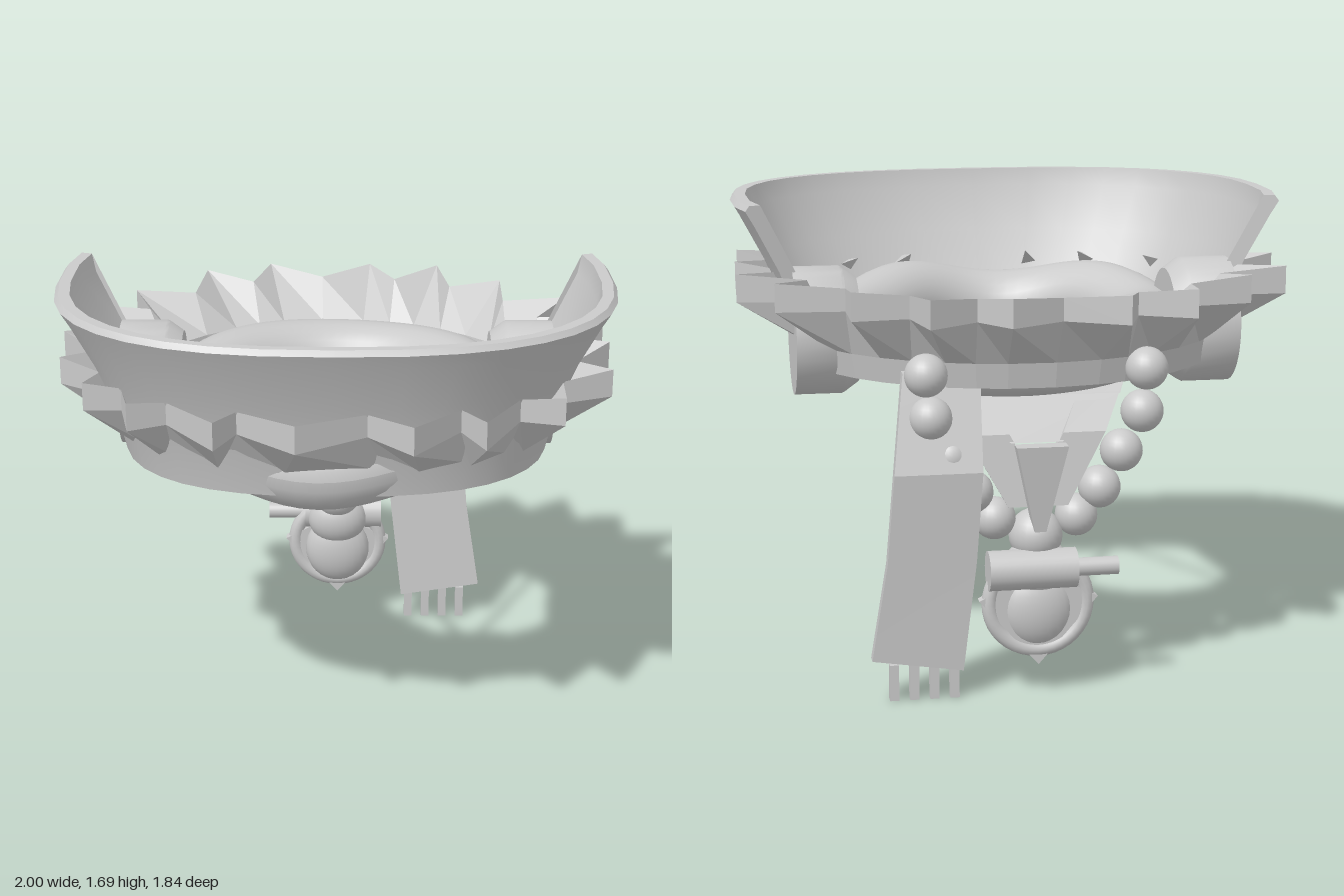
import * as THREE from 'three';
import { toCreasedNormals } from 'three/addons/utils/BufferGeometryUtils.js';

const grey = new THREE.MeshStandardMaterial({ color: 0xcacaca });
grey.name = 'plain grey';

const V = (x, y, z) => new THREE.Vector3(x, y, z);

// Skin a row of cross-sections; each one runs counter-clockwise seen from the far end
function loft(rings, closed, crease) {
  const n = rings[0].length, m = rings.length, idx = [];
  for (let i = 0; i < (closed ? m : m - 1); i++) {
    const k = (i + 1) % m;
    for (let j = 0; j < n; j++) {
      const l = (j + 1) % n;
      const a = i * n + j, b = i * n + l, c = k * n + l, d = k * n + j;
      idx.push(a, b, c, a, c, d);
    }
  }
  if (!closed) {
    const e = (m - 1) * n;
    for (let j = 1; j < n - 1; j++) idx.push(0, j + 1, j, e, e + j, e + j + 1);
  }
  const g = new THREE.BufferGeometry().setFromPoints(rings.flat());
  g.setIndex(idx);
  return toCreasedNormals(g, crease);
}

// Hanging strip from rows of [y, xLeft, xRight, z, rise of the right end], top to bottom
function strip(rows, thick) {
  const t = thick / 2;
  return loft(rows.map(([y, a, b, z, up = 0]) =>
    [V(a, y, z - t), V(b, y + up, z - t), V(b, y + up, z + t), V(a, y, z + t)]), false, 0.1);
}

// Rounded-square plan of the collar at radius r
const pw = (v) => Math.sign(v) * Math.pow(Math.abs(v), 0.8);
const outline = (t, r, y) => V(r * pw(Math.cos(t)), y, 0.05 + 0.81 * r * pw(Math.sin(t)));

export function createModel() {
  const group = new THREE.Group();
  const add = (name, geo, x = 0, y = 0, z = 0) => {
    const mesh = new THREE.Mesh(geo, grey);
    mesh.name = name;
    mesh.position.set(x, y, z);
    group.add(mesh);
    return mesh;
  };
  // Part whose own y axis runs from p to q
  const between = (name, geo, p, q) => {
    const mid = p.clone().add(q).multiplyScalar(0.5);
    const mesh = add(name, geo, mid.x, mid.y, mid.z);
    mesh.quaternion.setFromUnitVectors(V(0, 1, 0), q.clone().sub(p).normalize());
    return mesh;
  };
  const rod = (name, p, q, w, d) => between(name, new THREE.BoxGeometry(w, p.distanceTo(q), d), p, q);

  // Padded ring with a gentle wave, strongest at the front
  const ring = new THREE.TorusGeometry(0.54, 0.15, 24, 64).rotateX(Math.PI / 2);
  const pos = ring.attributes.position;
  for (let i = 0; i < pos.count; i++) {
    const a = Math.atan2(pos.getZ(i), pos.getX(i));
    pos.setY(i, pos.getY(i) - (0.018 + 0.012 * Math.sin(a)) * Math.cos(4 * a - 0.5));
  }
  ring.computeVertexNormals();
  add('paddedRing', ring, 0, 1.195, 0.02);

  // Flared collar, open at the back
  const profile = [[0.64, 1.1], [0.765, 1.1], [0.8, 1.25], [0.88, 1.45], [0.97, 1.62], [1.0, 1.67],
    [0.985, 1.69], [0.945, 1.69], [0.93, 1.62], [0.84, 1.45], [0.74, 1.25]];
  const collar = [];
  const t0 = 0.31;
  for (let i = 0; i <= 22; i++) {
    const t = -t0 + (Math.PI + 2 * t0) * i / 22;
    collar.push(profile.map(([r, y]) => outline(t, r, y)));
  }
  add('collar', loft(collar, false, 0.5));

  // Jagged crown on a low band: tips in plan, with a notch between each pair
  const tips = [[1, -0.25], [0.99, 0.05], [0.97, 0.35], [0.78, 0.64], [0.5, 0.87], [0.26, 0.92],
    [-0.13, 0.91], [-0.4, 0.88], [-0.7, 0.7], [-0.87, 0.5], [-0.98, 0.23], [-1, -0.06],
    [-0.96, -0.38], [-0.78, -0.56], [-0.52, -0.83], [-0.27, -0.92], [0.13, -0.92], [0.4, -0.9],
    [0.64, -0.7], [0.88, -0.48]];
  const crown = [];
  const column = (x, z, notch) => {
    const front = z > -0.1;
    const a = Math.atan2(z - (front ? 0.05 : 0), x);
    const base = (r, y) => front ? outline(a, r, y) : V(r * Math.cos(a), y, 0.91 * r * Math.sin(a));
    crown.push([base(0.71, 1.1), base(0.76, 1.1), base(notch && front ? 0.75 : 0.78, 1.19),
      V(x, 1.35, z), V(x, notch ? 1.43 : 1.45, z), base(front ? 0.8 : 0.74, 1.29)]);
  };
  tips.forEach(([x, z], i) => {
    const [u, w] = tips[(i + 1) % tips.length];
    column(x, z, false);
    const mx = (x + u) / 2, mz = (z + w) / 2;
    if (mz > -0.1) {
      const v = outline(Math.atan2(mz - 0.05, mx), 0.865, 0);
      column(v.x, v.z, true);
    } else {
      const s = 0.81 / Math.hypot(mx, mz);
      column(mx * s, mz * s, true);
    }
  });
  add('jaggedCrown', loft(crown, true, 0.1));

  // Side drums with a bevelled inner edge
  const drum = toCreasedNormals(new THREE.LatheGeometry(
    [[0, 0], [0.19, 0], [0.225, 0.05], [0.23, 0.06], [0.23, 0.23], [0, 0.23]]
      .map(([r, y]) => new THREE.Vector2(r, y)), 40), 0.5);
  for (const s of [-1, 1]) {
    add('sideDrum', drum, 0.57 * s, 1.225, -0.145).rotation.z = -s * Math.PI / 2;
  }

  // Small studs inside the collar
  for (const [x, z] of [[-0.8, 0.08], [-0.75, 0.27], [-0.67, 0.46], [-0.42, 0.61], [-0.2, 0.66],
    [0.3, 0.64], [0.53, 0.58], [0.7, 0.37], [0.77, 0.18]]) {
    const stud = toCreasedNormals(new THREE.ConeGeometry(0.05, 0.13, 3), 0.1);
    between('collarStud', stud, V(x * 1.05, 1.33, z * 1.05), V(x * 0.95, 1.37, z * 0.95));
  }

  // Braces across the opening
  rod('crossBar', V(-0.4, 1.16, 0.36), V(0.4, 1.16, 0.36), 0.06, 0.035);
  for (const s of [-1, 1]) {
    rod('sideBrace', V(0.39 * s, 1.19, -0.2), V(0.34 * s, 1.15, 0.38), 0.03, 0.06);
    rod('thinBrace', V(0.33 * s, 1.2, -0.28), V(0, 1.17, 0.43), 0.018, 0.018);
  }

  // Sloping bib and straps that carry the pendant
  add('bib', strip([[1.1, -0.38, 0.38, -0.36], [1.04, -0.32, 0.32, -0.52], [0.9, -0.09, 0.09, -0.64]], 0.025));
  for (const s of [-1, 1]) {
    const edge = (y, c, z) => [y, c * s - 0.075, c * s + 0.075, z];
    add('pendantStrap', strip([edge(1.1, 0.28, -0.45), edge(0.93, 0.17, -0.63), edge(0.68, 0.03, -0.67)], 0.03));
  }
  add('tassel', strip([[0.91, -0.09, 0.09, -0.74], [0.6, -0.02, 0.02, -0.7]], 0.06));

  // Bead strands
  for (const s of [-1, 1]) {
    for (const [x, y, z] of [[0.385, 1.15, -0.655], [0.37, 1.0, -0.655], [0.3, 0.86, -0.645],
      [0.225, 0.73, -0.635], [0.145, 0.63, -0.625]]) {
      add('bead', new THREE.SphereGeometry(0.075, 24, 16), x * s, y, z);
    }
  }
  add('centreBead', new THREE.SphereGeometry(0.095, 24, 16), 0, 0.565, -0.63);

  // Pendant: rounded body in a hoop, with a kite-shaped plate and a cross pin
  add('pendantNeck', new THREE.SphereGeometry(0.12, 24, 16).scale(1, 0.9, 0.75), 0, 0.45, -0.65);
  add('pendantBody', new THREE.SphereGeometry(0.13, 24, 16).scale(1, 1.1, 0.6), 0, 0.31, -0.66);
  add('pendantHoop', new THREE.TorusGeometry(0.172, 0.028, 12, 40), 0, 0.335, -0.68);
  const kite = new THREE.Shape([[-0.21, 0.35], [0, 0.11], [0.21, 0.35], [0, 0.46]]
    .map(([x, y]) => new THREE.Vector2(x, y)));
  add('pendantPlate', new THREE.ExtrudeGeometry(kite, { depth: 0.04, bevelEnabled: false }), 0, 0, -0.7);
  const pin = (name, r, a, b) => between(name, new THREE.CylinderGeometry(r, r, b - a, 24),
    V(a, 0.46, -0.7), V(b, 0.46, -0.7));
  pin('pinBarrel', 0.07, -0.13, 0.18);
  pin('pinTip', 0.032, -0.28, -0.12);

  // Side banner with a fringe
  add('banner', strip([[1.15, 0.19, 0.46, -0.59], [1.04, 0.195, 0.475, -0.63], [0.82, 0.2, 0.505, -0.71],
    [0.5, 0.22, 0.53, -0.69], [0.1, 0.265, 0.585, -0.67, 0.05]], 0.045));
  for (let i = 0; i < 4; i++) {
    add('fringe', new THREE.BoxGeometry(0.032, 0.13, 0.035), 0.295 + i * 0.071, 0.065, -0.67);
  }

  return group;
}
